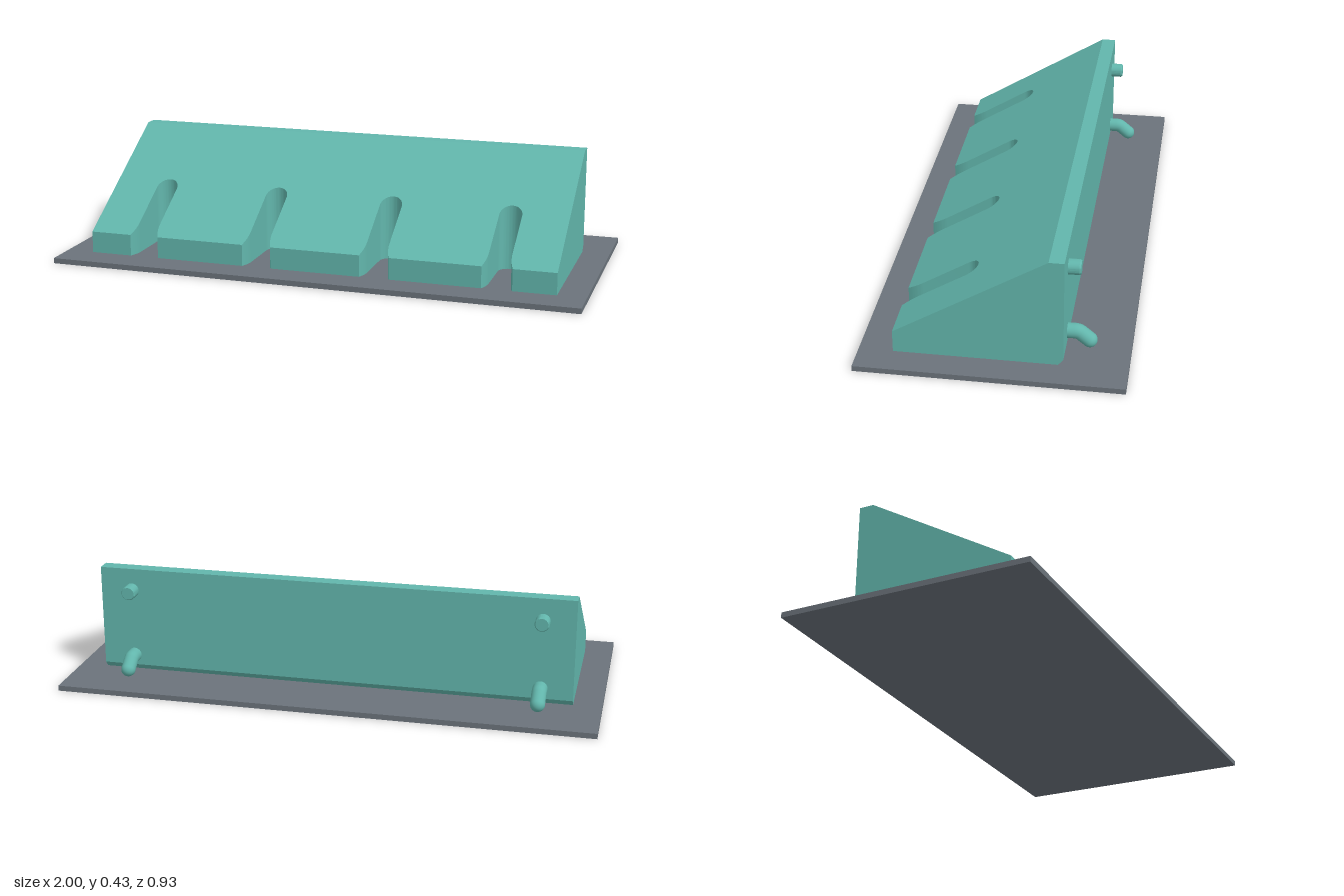
import * as THREE from 'three';
import { toCreasedNormals } from 'three/addons/utils/BufferGeometryUtils.js';

const teal = new THREE.MeshStandardMaterial({ color: 0x62b6ac });
const slate = new THREE.MeshStandardMaterial({ color: 0x6b737b });

const HALF = 0.895, BASE = 0.02, FRONT = 0.345, BACK = -0.243, SPLIT = 0.06, RIDGE = -0.19, TOP = 0.425;
const slopeY = (z) => TOP - 0.605 * (z - RIDGE);

function mesh(name, geometry, material = teal) {
  const m = new THREE.Mesh(geometry, material);
  m.name = name;
  return m;
}

// Solid rear of the wedge: side profile swept along x
function rearGeometry() {
  const profile = [
    [SPLIT, BASE], [-0.225, BASE], [BACK, 0.042], [BACK, TOP], [RIDGE, TOP], [SPLIT, slopeY(SPLIT)],
  ];
  const shape = new THREE.Shape(profile.map(([z, y]) => new THREE.Vector2(-z, y)));
  const g = new THREE.ExtrudeGeometry(shape, { depth: 2 * HALF, bevelEnabled: false });
  g.translate(0, 0, -HALF).rotateY(Math.PI / 2);
  return g;
}

// Slotted front: plan outline raised up, its top pulled onto the slope
function frontGeometry() {
  const r = 0.042, mouth = 0.056, endZ = 0.122, flareZ = 0.285;
  const s = new THREE.Shape();
  s.moveTo(-HALF, -SPLIT);
  s.lineTo(-HALF, -FRONT);
  for (const c of [-0.68, -0.227, 0.227, 0.68]) {
    s.lineTo(c - mouth, -FRONT);
    s.quadraticCurveTo(c - r, -0.315, c - r, -flareZ);
    s.lineTo(c - r, -endZ);
    s.absarc(c, -endZ, r, Math.PI, 0, true);
    s.lineTo(c + r, -flareZ);
    s.quadraticCurveTo(c + r, -0.315, c + mouth, -FRONT);
  }
  s.lineTo(HALF, -FRONT);
  s.lineTo(HALF, -SPLIT);
  const g = new THREE.ExtrudeGeometry(s, { depth: 1, bevelEnabled: false, curveSegments: 16 });
  g.rotateX(-Math.PI / 2);
  const p = g.attributes.position;
  for (let i = 0; i < p.count; i++) {
    p.setY(i, p.getY(i) > 0.5 ? slopeY(p.getZ(i)) : BASE);
  }
  return toCreasedNormals(g, 0.5);
}

// Straight peg with a small chamfer on its tip
function pegGeometry() {
  const pts = [[0, 0], [0.027, 0], [0.027, 0.039], [0.023, 0.045], [0, 0.045]];
  const g = new THREE.LatheGeometry(pts.map(([x, y]) => new THREE.Vector2(x, y)), 24);
  return toCreasedNormals(g.rotateX(-Math.PI / 2), 0.5);
}

// Bent hook: straight stub, then a drooping arm with a round tip
function hook(x) {
  const r = 0.027, group = new THREE.Group();
  group.name = 'hook';
  const path = new THREE.CurvePath();
  const a = new THREE.Vector3(0, 0.082, BACK), b = new THREE.Vector3(0, 0.082, -0.268);
  const c = new THREE.Vector3(0, 0.078, -0.286), d = new THREE.Vector3(0, 0.05, -0.32);
  path.add(new THREE.LineCurve3(a, b));
  path.add(new THREE.QuadraticBezierCurve3(b, new THREE.Vector3(0, 0.082, -0.278), c));
  path.add(new THREE.LineCurve3(c, d));
  const tip = mesh('hookTip', new THREE.SphereGeometry(r, 24, 16));
  tip.position.copy(d);
  group.add(mesh('hookArm', new THREE.TubeGeometry(path, 24, r, 24)), tip);
  group.position.x = x;
  return group;
}

export function createModel() {
  const model = new THREE.Group();

  // Base plate
  const plate = mesh('basePlate', new THREE.BoxGeometry(2, BASE, 0.93), slate);
  plate.position.y = BASE / 2;
  model.add(plate);

  // Wedge
  const wedge = new THREE.Group();
  wedge.name = 'wedge';
  wedge.add(mesh('wedgeRear', rearGeometry()), mesh('wedgeSlottedFront', frontGeometry()));
  model.add(wedge);

  // Mounting pegs and hooks on the back
  for (const x of [-0.775, 0.775]) {
    const peg = mesh('upperPeg', pegGeometry());
    peg.position.set(x, 0.341, BACK);
    model.add(peg, hook(x));
  }
  return model;
}
